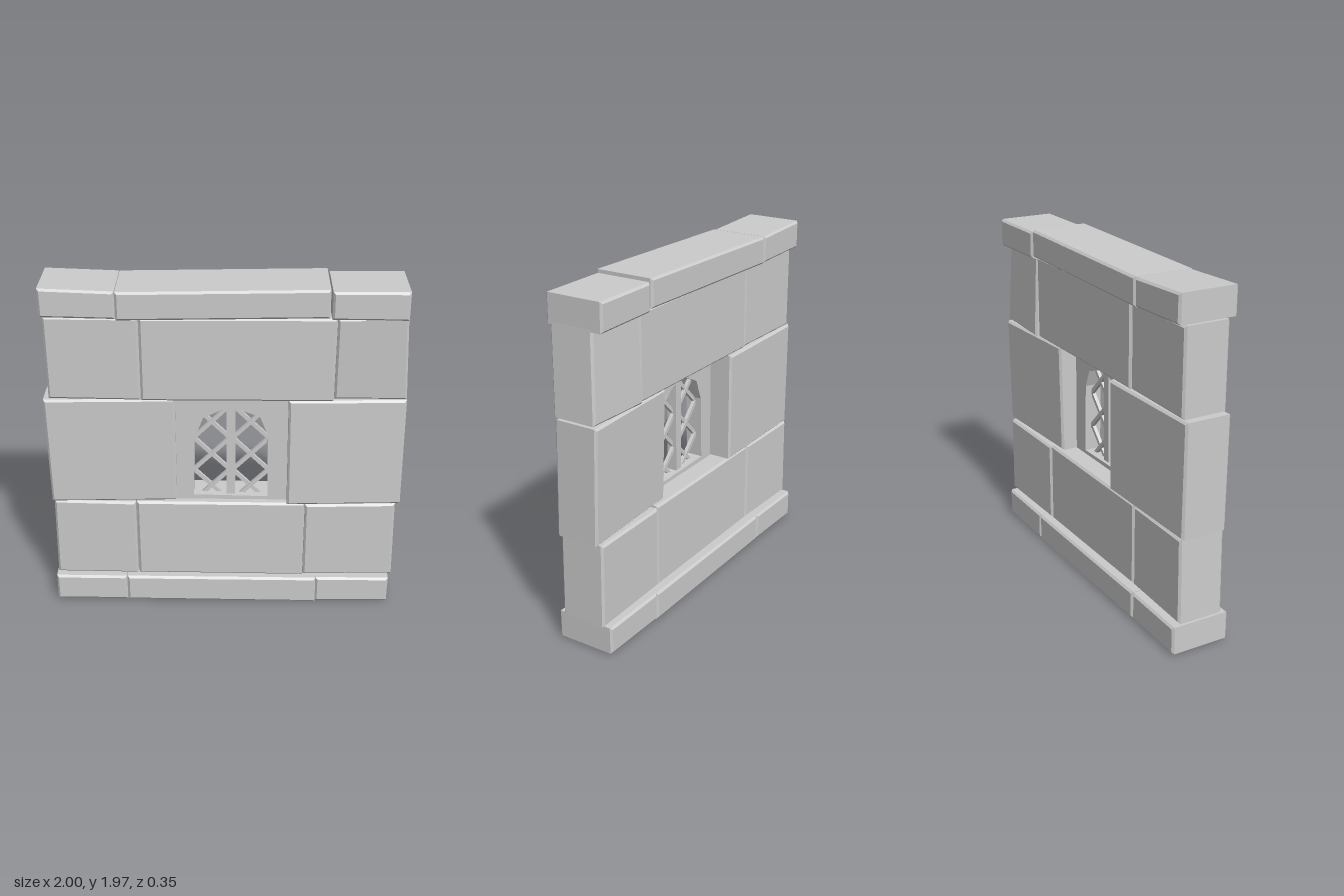
import * as THREE from 'three';

const stone = new THREE.MeshStandardMaterial({ color: 0xcccccc, flatShading: true });

// Chamfered stone: four front corners (from lower left, anticlockwise), back and front z, slight yaw and tilt
function block(name, corners, zBack, zFront, yaw = 0, tilt = 0, bevel = 0.012) {
  const shape = new THREE.Shape(corners.map(([x, y]) => new THREE.Vector2(x, y)));
  const geo = new THREE.ExtrudeGeometry(shape, {
    depth: zFront - zBack - 2 * bevel, bevelEnabled: true, bevelSegments: 1,
    bevelSize: bevel, bevelThickness: bevel, bevelOffset: -bevel,
  });
  geo.translate(0, 0, zBack + bevel);
  const cx = corners.reduce((s, c) => s + c[0], 0) / 4;
  const cy = corners.reduce((s, c) => s + c[1], 0) / 4;
  const p = geo.attributes.position;
  for (let i = 0; i < p.count; i++) {
    p.setZ(i, p.getZ(i) + yaw * (p.getX(i) - cx) + tilt * (p.getY(i) - cy));
  }
  geo.computeVertexNormals();
  const mesh = new THREE.Mesh(geo, stone);
  mesh.name = name;
  return mesh;
}

function bar(name, w, h, d, x, y, z, angle = 0) {
  const mesh = new THREE.Mesh(new THREE.BoxGeometry(w, h, d), stone);
  mesh.position.set(x, y, z);
  mesh.rotation.z = angle;
  mesh.name = name;
  return mesh;
}

export function createModel() {
  const model = new THREE.Group();
  model.name = 'stoneWallWithWindow';

  // Courses of stones, bottom to top
  const stones = [
    ['plinthRight', [[-0.995, 0.012], [-0.58, 0.012], [-0.58, 0.172], [-0.995, 0.172]], -0.178, 0.17, 0.01],
    ['plinthMiddle', [[-0.577, 0.012], [0.53, 0.002], [0.53, 0.168], [-0.577, 0.174]], -0.178, 0.175],
    ['plinthLeft', [[0.53, 0.008], [0.955, 0.012], [0.957, 0.17], [0.53, 0.17]], -0.178, 0.172],
    ['lowerStoneRight', [[-0.987, 0.178], [-0.513, 0.178], [-0.513, 0.663], [-0.98, 0.668]], -0.135, 0.135, 0.02],
    ['lowerStoneMiddle', [[-0.508, 0.178], [0.453, 0.168], [0.453, 0.66], [-0.508, 0.666]], -0.13, 0.137],
    ['lowerStoneLeft', [[0.455, 0.172], [0.978, 0.174], [0.97, 0.654], [0.455, 0.65]], -0.14, 0.13, -0.02],
    ['middleStoneRight', [[-0.99, 0.665], [-0.278, 0.67], [-0.278, 1.313], [-1, 1.31]], -0.14, 0.128, -0.02],
    ['middleStoneLeft', [[0.35, 0.66], [0.997, 0.657], [0.993, 1.308], [0.346, 1.312]], -0.125, 0.132, -0.04, -0.02],
    ['upperStoneRight', [[-0.968, 1.316], [-0.463, 1.314], [-0.463, 1.795], [-0.972, 1.795]], -0.13, 0.132, 0.02],
    ['upperStoneMiddle', [[-0.46, 1.312], [0.59, 1.312], [0.592, 1.797], [-0.46, 1.795]], -0.13, 0.14],
    ['upperStoneLeft', [[0.594, 1.314], [0.99, 1.318], [0.965, 1.805], [0.594, 1.79]], -0.132, 0.125, 0.03, 0.04],
    ['copingRight', [[-0.98, 1.805], [-0.58, 1.797], [-0.58, 1.95], [-0.982, 1.965]], -0.178, 0.162],
    ['copingMiddle', [[-0.577, 1.793], [0.548, 1.81], [0.548, 1.968], [-0.577, 1.95]], -0.178, 0.172],
    ['copingLeft', [[0.56, 1.797], [0.965, 1.793], [0.965, 1.952], [0.56, 1.952]], -0.178, 0.16],
  ];
  for (const s of stones) model.add(block(...s));

  // Recessed panel with pointed window opening
  const panel = new THREE.Shape();
  panel.moveTo(-0.3, 0.64).lineTo(0.37, 0.64).lineTo(0.37, 1.33).lineTo(-0.3, 1.33).closePath();
  const opening = [[-0.182, 0.692], [-0.172, 1.06], [-0.125, 1.185], [-0.005, 1.243],
    [0.045, 1.247], [0.19, 1.195], [0.232, 1.09], [0.242, 0.682]];
  panel.holes.push(new THREE.Path(opening.map(([x, y]) => new THREE.Vector2(x, y))));
  const panelGeo = new THREE.ExtrudeGeometry(panel, { depth: 0.1, bevelEnabled: false });
  panelGeo.translate(0, 0, -0.01);
  const panelMesh = new THREE.Mesh(panelGeo, stone);
  panelMesh.name = 'windowPanel';
  model.add(panelMesh);

  // Central mullion and crossed lattice bars; bar ends sit inside the stone
  const win = new THREE.Group();
  win.name = 'windowLattice';
  win.add(bar('mullion', 0.05, 0.6, 0.06, 0.03, 0.965, 0.04));
  for (const cx of [-0.08, 0.14]) {
    for (let k = 0; k < 3; k++) {
      const y = 0.73 + 0.205 * k;
      for (const side of [-1, 1]) {
        win.add(bar('latticeBar', 0.3, 0.022, 0.02, cx, y, 0.04 + side * 0.003, side * Math.PI / 4));
      }
    }
  }
  model.add(win);
  return model;
}
